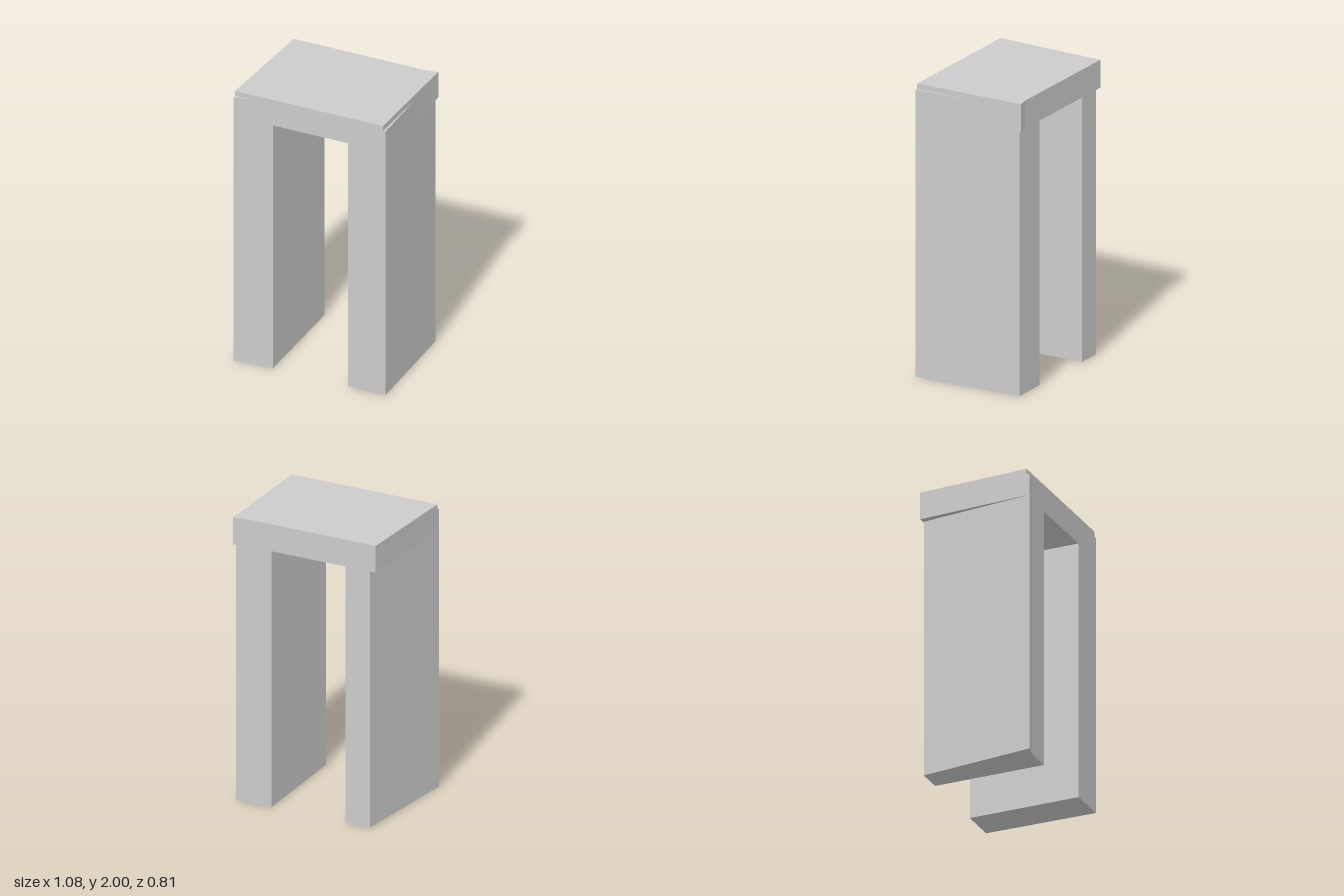
import * as THREE from 'three';

const material = new THREE.MeshStandardMaterial({ color: 0xcccccc, flatShading: true });

// Upright prism from a plan outline of [x, z] points
function prism(name, outline, y0, y1) {
  const shape = new THREE.Shape(outline.map(([x, z]) => new THREE.Vector2(x, -z)));
  const geometry = new THREE.ExtrudeGeometry(shape, { depth: y1 - y0, bevelEnabled: false });
  geometry.rotateX(-Math.PI / 2).translate(0, y0, 0);
  const mesh = new THREE.Mesh(geometry, material);
  mesh.name = name;
  return mesh;
}

export function createModel() {
  const group = new THREE.Group();
  group.name = 'archway';

  // Right leg: outer wall narrows slightly toward the back
  group.add(prism('rightLeg', [
    [-0.27, 0.385], [-0.27, -0.388], [-0.447, -0.388], [-0.54, 0.406], [-0.45, 0.386],
  ], 0, 1.963));

  // Left leg: nearly rectangular
  group.add(prism('leftLeg', [
    [0.27, 0.385], [0.538, 0.386], [0.526, -0.388], [0.27, -0.388],
  ], 0, 1.963));

  // Lintel: skewed slab with a flared back corner, bridging both legs
  group.add(prism('lintel', [
    [-0.54, 0.385], [0.52, 0.385], [0.538, -0.406], [0.465, -0.391], [-0.492, -0.393],
  ], 1.81, 2));

  return group;
}
